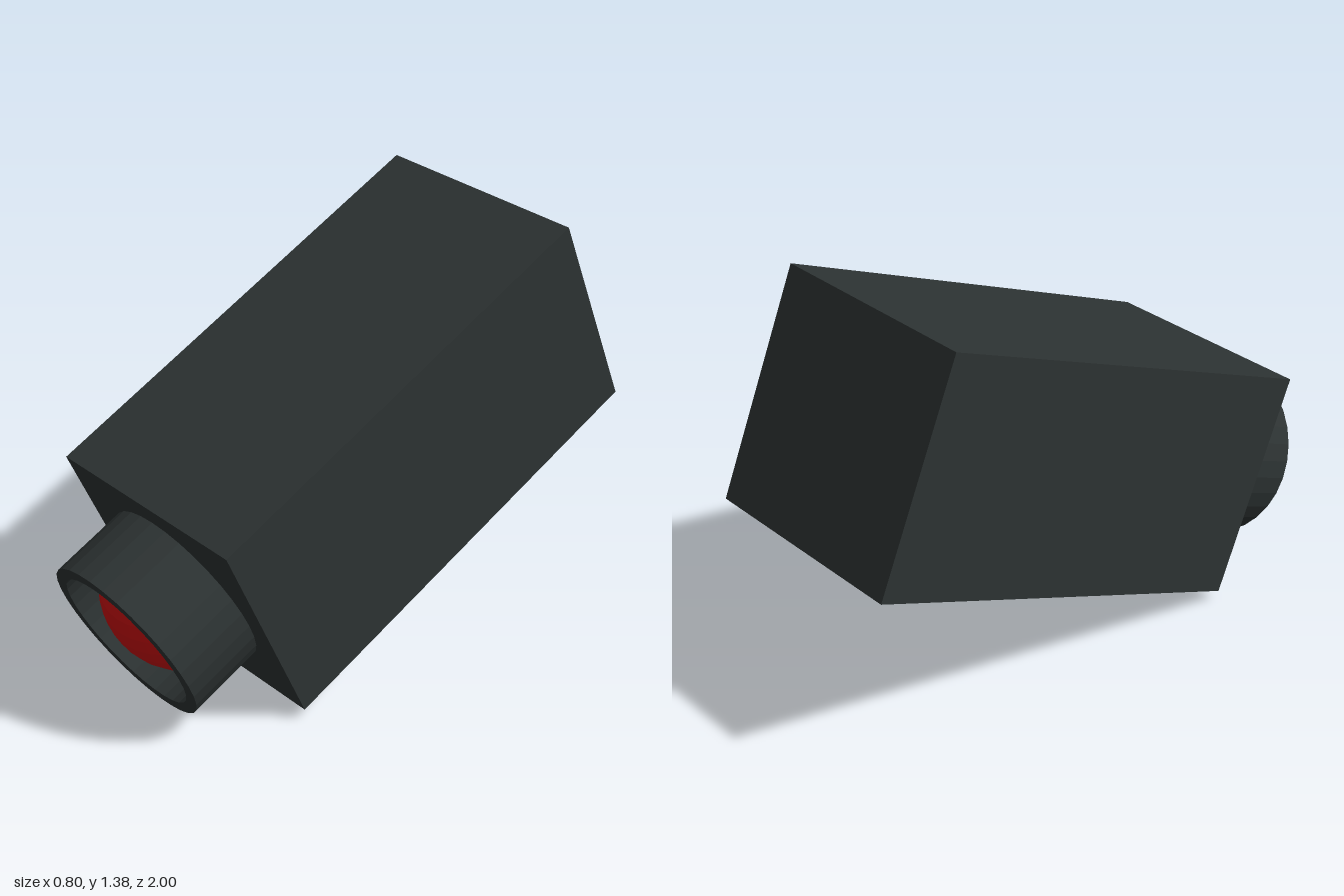
import * as THREE from 'three';

const TILT = 0.4;
const BODY = { width: 0.8, height: 0.793, length: 1.596 };
const FRONT = BODY.length / 2;

export function createModel() {
  const model = new THREE.Group();
  model.name = 'camera';

  const dark = new THREE.MeshStandardMaterial({ color: 0x2d3333, flatShading: true });
  const red = new THREE.MeshStandardMaterial({ color: 0xd01010, flatShading: true });

  const add = (name, geometry, material) => {
    const mesh = new THREE.Mesh(geometry, material);
    mesh.name = name;
    model.add(mesh);
    return mesh;
  };

  // Long box housing
  add('housing', new THREE.BoxGeometry(BODY.width, BODY.height, BODY.length), dark);

  // Short hollow barrel on the front face: outer wall, flat rim, inner wall
  const profile = [
    [0.315, FRONT - 0.02],
    [0.315, 1.071],
    [0.269, 1.071],
    [0.269, FRONT - 0.02],
  ].map(([r, y]) => new THREE.Vector2(r, y));
  add('lensBarrel', new THREE.LatheGeometry(profile, 32).rotateX(Math.PI / 2), dark);

  // Red ball lens, its crown just clearing the rim
  const lens = add('lens', new THREE.SphereGeometry(0.283, 32, 16), red);
  lens.position.z = FRONT;

  // Whole camera looks down towards the front
  model.rotation.x = TILT;
  model.position.set(0, 0.713, -0.108);

  const root = new THREE.Group();
  root.name = 'tiltedCamera';
  root.add(model);
  return root;
}
